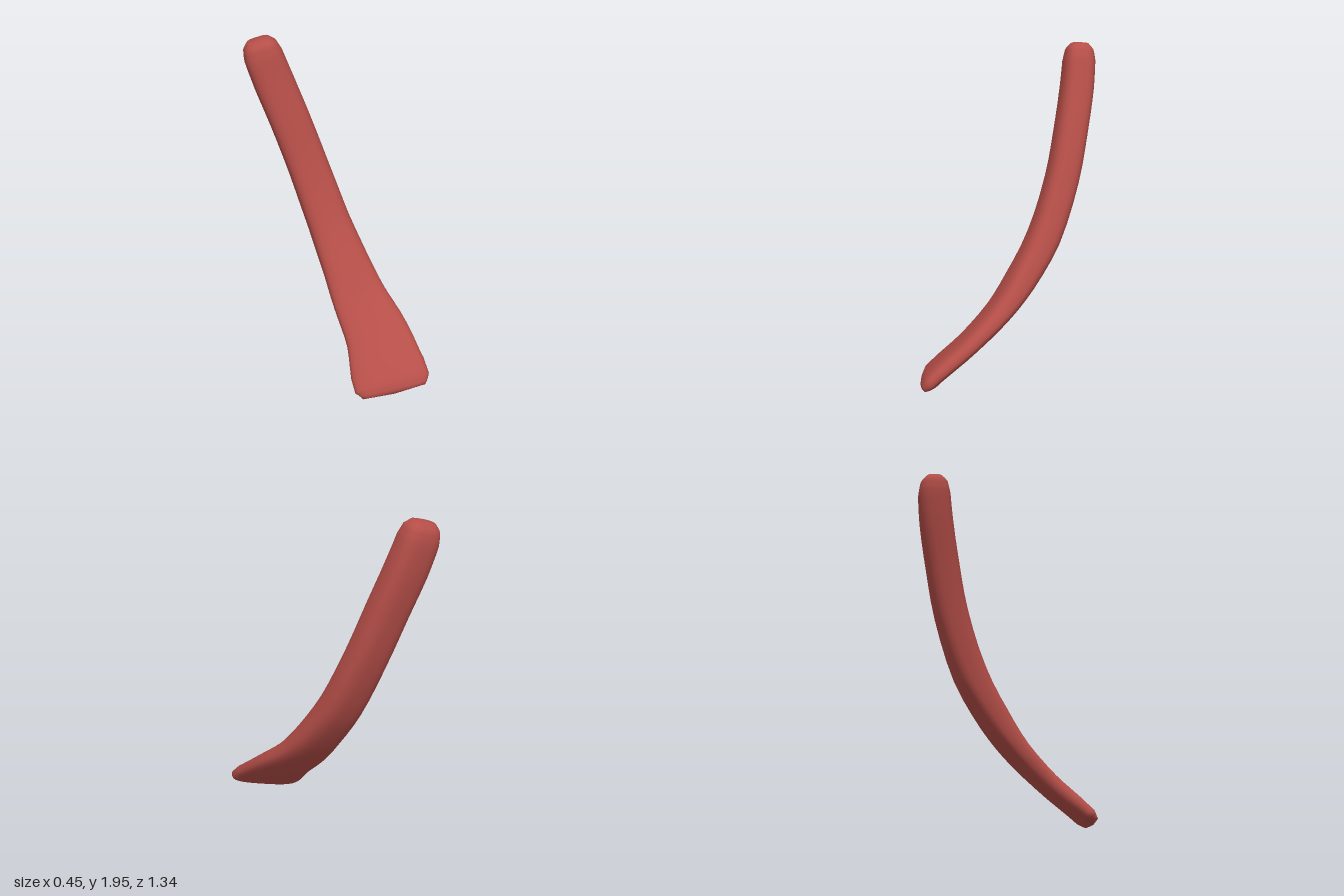
import * as THREE from 'three';

// Stations from blade tip to handle end: centre x, y, z, half width, half thickness, roll in degrees
const STATIONS = [
  [-0.035, 0.095, 0.575, 0.19, 0.03, 30],
  [-0.022, 0.13, 0.54, 0.228, 0.052, 30],
  [0.0, 0.19, 0.47, 0.226, 0.056, 30],
  [0.05, 0.315, 0.32, 0.196, 0.06, 29],
  [0.07, 0.475, 0.125, 0.168, 0.07, 27],
  [0.08, 0.64, -0.02, 0.148, 0.084, 25],
  [0.078, 0.88, -0.19, 0.13, 0.095, 25],
  [0.045, 1.21, -0.345, 0.122, 0.096, 25],
  [-0.005, 1.485, -0.443, 0.12, 0.096, 25],
  [-0.058, 1.72, -0.522, 0.119, 0.096, 25],
  [-0.096, 1.88, -0.564, 0.114, 0.093, 25],
  [-0.11, 1.945, -0.576, 0.098, 0.08, 25],
  [-0.116, 1.98, -0.582, 0.066, 0.05, 25],
];
const SIDES = 28, STEPS = 3, POWER = 2 / 2.8;

// Rounded-rectangle sections swept along the bent centre line, closed at both ends
function sweptBody() {
  const curve = new THREE.CatmullRomCurve3(STATIONS.map((s) => new THREE.Vector3(s[0], s[1], s[2])));
  const rows = (STATIONS.length - 1) * STEPS;
  const positions = [], index = [];
  const soften = (v) => Math.sign(v) * Math.abs(v) ** POWER;

  for (let i = 0; i <= rows; i++) {
    const t = i / rows;
    const k = Math.min(Math.floor(i / STEPS), STATIONS.length - 2);
    const f = i / STEPS - k;
    const [a, b, roll] = [3, 4, 5].map((n) => THREE.MathUtils.lerp(STATIONS[k][n], STATIONS[k + 1][n], f));
    const centre = curve.getPoint(t);
    const along = curve.getTangent(t);
    const side = new THREE.Vector3(1, 0, 0).addScaledVector(along, -along.x).normalize();
    const wide = side.clone().applyAxisAngle(along, -THREE.MathUtils.degToRad(roll));
    const thick = along.clone().cross(wide);
    for (let j = 0; j < SIDES; j++) {
      const angle = (j / SIDES) * Math.PI * 2;
      const p = centre.clone()
        .addScaledVector(wide, a * soften(Math.cos(angle)))
        .addScaledVector(thick, b * soften(Math.sin(angle)));
      positions.push(p.x, p.y, p.z);
      if (i < rows) {
        const p0 = i * SIDES + j, p1 = i * SIDES + ((j + 1) % SIDES);
        index.push(p0, p1, p0 + SIDES, p1, p1 + SIDES, p0 + SIDES);
      }
    }
  }

  // End caps
  const start = curve.getPoint(0).addScaledVector(curve.getTangent(0), -0.012);
  const end = curve.getPoint(1).addScaledVector(curve.getTangent(1), 0.008);
  const startId = positions.length / 3, endId = startId + 1, last = rows * SIDES;
  positions.push(...start.toArray(), ...end.toArray());
  for (let j = 0; j < SIDES; j++) {
    const n = (j + 1) % SIDES;
    index.push(startId, n, j, endId, last + j, last + n);
  }

  const geometry = new THREE.BufferGeometry();
  geometry.setAttribute('position', new THREE.Float32BufferAttribute(positions, 3));
  geometry.setIndex(index);
  geometry.computeVertexNormals();
  return geometry;
}

export function createModel() {
  const group = new THREE.Group();
  group.name = 'bentPaddle';
  const red = new THREE.MeshStandardMaterial({ color: 0xb54e48 });
  red.name = 'dullRed';
  const body = new THREE.Mesh(sweptBody(), red);
  body.name = 'handleAndBlade';
  group.add(body);
  return group;
}
